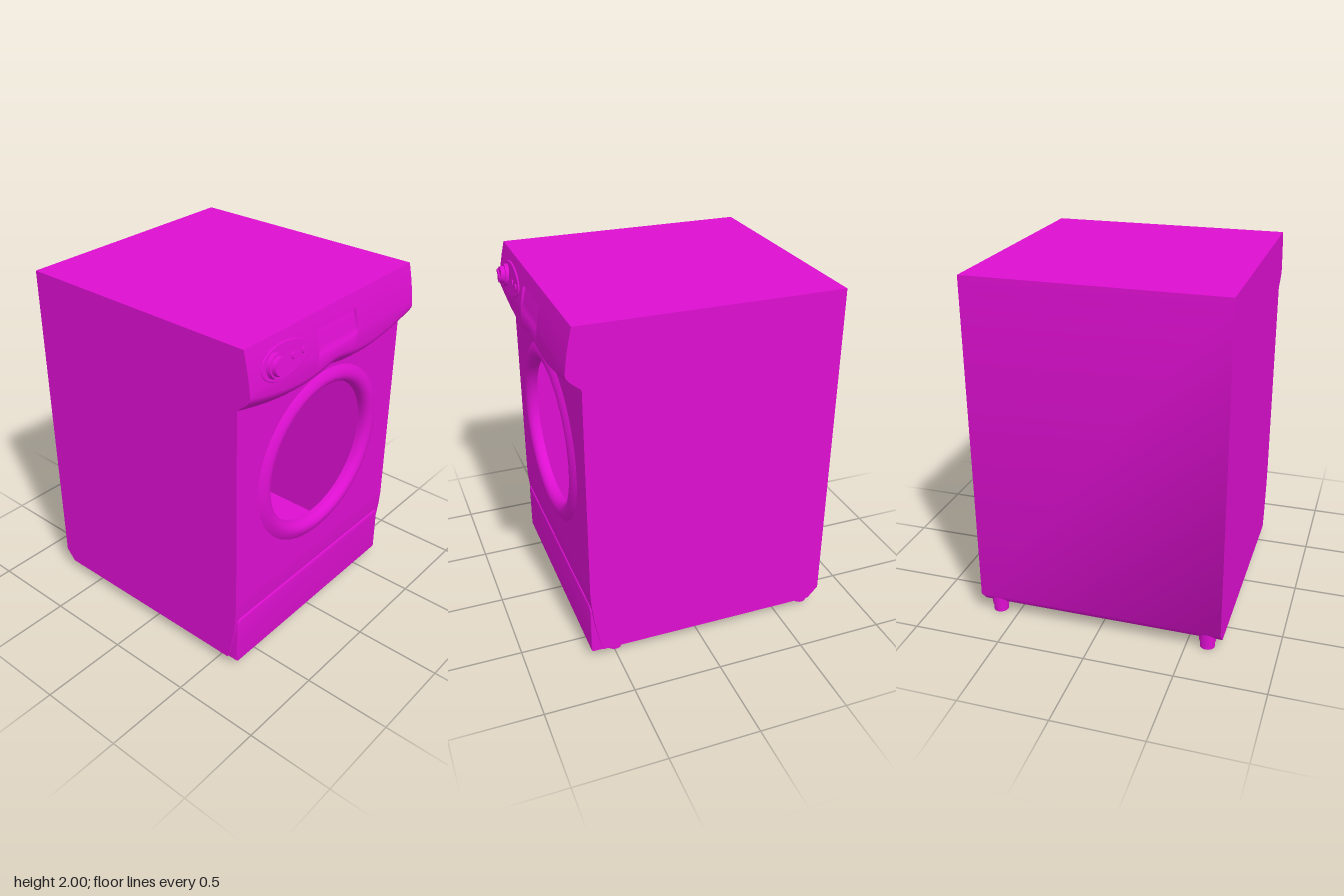
import * as THREE from 'three';
import { toCreasedNormals } from 'three/addons/utils/BufferGeometryUtils.js';

const W = 0.7, DOOR_Y = 1.097, SQUASH = 0.95;
const material = new THREE.MeshStandardMaterial({ color: 0xdd0fd0, side: THREE.DoubleSide });

function part(name, geometry, x = 0, y = 0, z = 0) {
  const mesh = new THREE.Mesh(geometry, material);
  mesh.name = name;
  mesh.position.set(x, y, z);
  return mesh;
}

// Skin through rows of [x, y, z] points
function skin(rows) {
  const n = rows[0].length, index = [];
  for (let r = 0; r < rows.length - 1; r++) {
    for (let c = 0; c < n - 1; c++) {
      const a = r * n + c, b = a + 1, d = a + n, e = d + 1;
      index.push(a, b, e, a, e, d);
    }
  }
  const g = new THREE.BufferGeometry();
  g.setAttribute('position', new THREE.Float32BufferAttribute(rows.flat(2), 3));
  g.setIndex(index);
  return toCreasedNormals(g, 0.8);
}

// Wavy lower edge of the control panel
function panelEdge(x) {
  const out = Math.max(0, Math.abs(x) - 0.28) / 0.42;
  return 1.6 + 0.07 * out ** 1.6 + 0.03 * Math.exp(-((x / 0.13) ** 2));
}

const panelZ = y => 0.722 - 0.042 * (Math.max(0, y - 1.74) / 0.26) ** 1.5;

// Lower panel rows as [height above the edge, z]
const LIP = [[0, 0.642], [0.008, 0.648], [0.025, 0.67], [0.045, 0.694], [0.062, 0.71], [0.078, 0.719], [0.092, 0.722]];
const UPPER = [1.78, 1.785, 1.82, 1.86, 1.9, 1.904, 1.915, 1.95, 2];
const KICK = [[0.06, 0.58], [0.14, 0.6], [0.22, 0.616], [0.3, 0.628], [0.38, 0.637], [0.46, 0.642]];

// Columns across the front, with extra ones at the sides of the display
const columns = [-0.17, -0.165, 0.165, 0.17];
for (let i = 0; i <= 40; i++) columns.push(-W + (2 * W * i) / 40);
columns.sort((a, b) => a - b);

// Display recess: flush at its bottom, deepest under its top edge
function recess(x, y) {
  if (Math.abs(x) > 0.167 || y < 1.783 || y > 1.91) return 0;
  return 0.004 + 0.012 * (y - 1.785) / 0.12;
}

function controlPanel() {
  const rows = LIP.map(([d, z]) => columns.map(x => [x, panelEdge(x) + d, z]));
  for (const y of UPPER) rows.push(columns.map(x => [x, y, panelZ(y) - recess(x, y)]));
  return skin(rows);
}

// Flat front with the door opening
function frontWall() {
  const s = new THREE.Shape([
    new THREE.Vector2(-W, 0.46), new THREE.Vector2(W, 0.46),
    ...[...columns].reverse().map(x => new THREE.Vector2(x, panelEdge(x))),
  ]);
  const hole = new THREE.Path();
  hole.absellipse(0, DOOR_Y, 0.53, 0.53 * SQUASH, 0, Math.PI * 2, true);
  s.holes.push(hole);
  return new THREE.ShapeGeometry(s, 64);
}

// Side wall follows the whole outline of the cabinet, drawn in z and y
function sideWall() {
  const edge = panelEdge(W);
  const outline = [
    ...KICK.map(([y, z]) => [z, y]),
    ...LIP.map(([d, z]) => [z, edge + d]),
    ...UPPER.map(y => [panelZ(y), y]),
    [-0.764, 2], [-0.764, 0.125], [-0.704, 0.06],
  ];
  return new THREE.ShapeGeometry(new THREE.Shape(outline.map(([z, y]) => new THREE.Vector2(-z, y))));
}

function doorRing() {
  const profile = [[0.54, 0.638], [0.528, 0.646], [0.51, 0.657], [0.49, 0.664], [0.475, 0.666],
    [0.458, 0.663], [0.443, 0.653], [0.433, 0.638], [0.43, 0.62], [0.43, 0.6]];
  const g = new THREE.LatheGeometry(profile.map(p => new THREE.Vector2(...p)), 96);
  g.rotateX(Math.PI / 2);
  g.scale(1, SQUASH, 1);
  return g;
}

// Plinth cover with rounded top corners
function plinthCover() {
  const w = 0.672, b = 0.053, t = 0.337, r = 0.025;
  const s = new THREE.Shape();
  s.moveTo(-w, b);
  s.lineTo(w, b);
  s.lineTo(w, t - r);
  s.quadraticCurveTo(w, t, w - r, t);
  s.lineTo(-w + r, t);
  s.quadraticCurveTo(-w, t, -w, t - r);
  s.closePath();
  const g = new THREE.ExtrudeGeometry(s, {
    depth: 0.055, bevelSize: 0.008, bevelThickness: 0.008, bevelSegments: 3, curveSegments: 8,
  });
  return toCreasedNormals(g, 0.6);
}

// Disc facing forward
function disc(rTop, rBase, depth, z) {
  return new THREE.CylinderGeometry(rTop, rBase, depth, 40).rotateX(Math.PI / 2).translate(0, 0, z + depth / 2);
}

// Dial, its egg-shaped surround and two buttons
function dialGroup() {
  const group = new THREE.Group();
  group.name = 'dialControls';
  group.position.set(-0.42, 1.86, panelZ(1.86));
  group.rotation.x = -0.15;
  const egg = new THREE.Shape();
  for (let i = 0; i < 48; i++) {
    const a = (i / 48) * Math.PI * 2, c = Math.cos(a);
    const x = 0.185 * c, y = (0.085 - 0.015 * c) * Math.sin(a);
    if (i) egg.lineTo(x, y); else egg.moveTo(x, y);
  }
  group.add(part('dialSurround', new THREE.ExtrudeGeometry(egg, {
    depth: 0.018, bevelSize: 0.006, bevelThickness: 0.004, bevelSegments: 2,
  }), 0, 0, -0.016));
  group.add(part('dialBase', disc(0.06, 0.066, 0.026, 0), -0.095));
  group.add(part('dialCap', disc(0.045, 0.05, 0.022, 0.026), -0.095));
  const grip = part('dialGrip', new THREE.BoxGeometry(0.085, 0.018, 0.014), -0.095, 0, 0.048);
  grip.rotation.z = -0.42;
  group.add(grip);
  for (const x of [0.05, 0.13]) group.add(part('button', disc(0.017, 0.02, 0.008, 0.004), x));
  return group;
}

export function createModel() {
  const model = new THREE.Group();
  model.name = 'washingMachine';

  // Cabinet shell
  model.add(part('controlPanel', controlPanel()));
  model.add(part('frontWall', frontWall(), 0, 0, 0.642));
  model.add(part('lowerFront', skin(KICK.map(([y, z]) => [[-W, y, z], [W, y, z]]))));
  const around = [[2, 0.68], [2, -0.764], [0.125, -0.764], [0.06, -0.704], [0.06, 0.58]];
  model.add(part('topBackAndBase', skin(around.map(([y, z]) => [[-W, y, z], [W, y, z]]))));
  const left = part('leftWall', sideWall(), W);
  left.rotation.y = Math.PI / 2;
  const right = part('rightWall', sideWall().scale(-1, 1, 1), -W);
  right.geometry.index.array.reverse();
  right.geometry.computeVertexNormals();
  right.rotation.y = -Math.PI / 2;
  model.add(left, right);

  // Door ring
  model.add(part('doorRing', doorRing(), 0, DOOR_Y));

  // Plinth
  model.add(part('plinthCover', plinthCover(), 0, 0, 0.577));
  model.add(part('plinthReturn', new THREE.BoxGeometry(1.36, 0.015, 0.22), 0, 0.0525, 0.51));

  // Dial and buttons
  model.add(dialGroup());

  // Feet
  for (const x of [-0.615, 0.615]) {
    for (const [z, h] of [[0.49, 0.07], [-0.692, 0.12]]) {
      model.add(part('foot', new THREE.CylinderGeometry(0.042, 0.042, 0.04, 24), x, 0.02, z));
      model.add(part('footStem', new THREE.CylinderGeometry(0.047, 0.047, h - 0.04, 24), x, (h + 0.04) / 2, z));
    }
  }
  return model;
}
